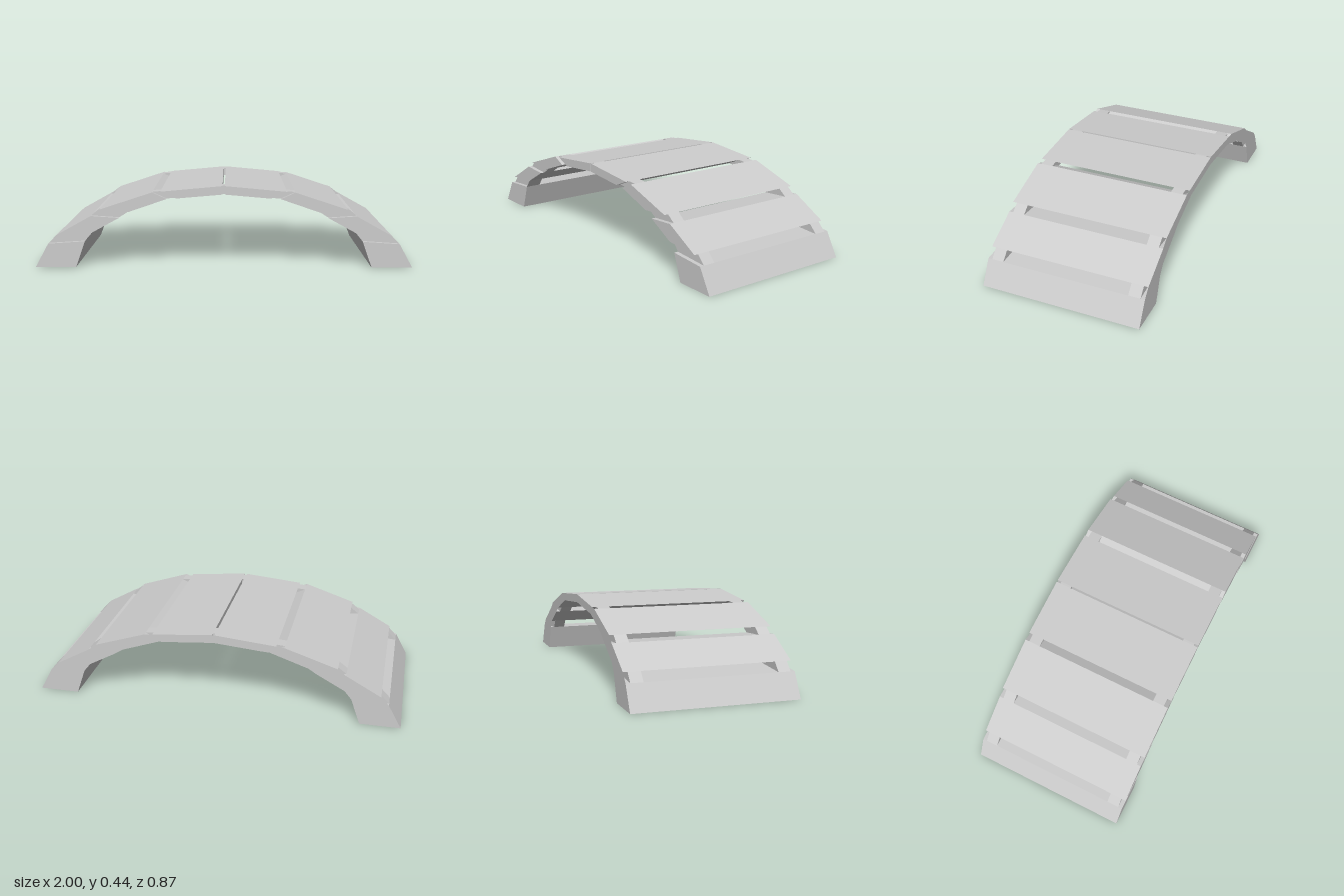
import * as THREE from 'three';

const HALF = 0.435;
// Cross-cuts through the right half of the arch: [outer point, inner point], foot to crown
const cuts = [
  [[1, 0], [0.785, 0]],
  [[0.93, 0.127], [0.735, 0.14]],
  [[0.887, 0.172], [0.698, 0.186]],
  [[0.7, 0.276], [0.552, 0.266]],
  [[0.656, 0.31], [0.503, 0.297]],
  [[0.376, 0.402], [0.3, 0.367]],
  [[0.333, 0.406], [0.248, 0.37]],
  [[0.006, 0.436], [0.006, 0.391]],
];

export function createModel() {
  const group = new THREE.Group();
  const material = new THREE.MeshStandardMaterial({ color: 0xcccccc, flatShading: true });

  const add = (name, geometry) => {
    const mesh = new THREE.Mesh(geometry, material);
    mesh.name = name;
    group.add(mesh);
  };
  const shapeOf = (points) => new THREE.Shape(points.map(([x, y]) => new THREE.Vector2(x, y)));
  // Block between two cross-cuts, running from z0 to z1
  const block = (name, a, b, z0, z1) => {
    const shape = shapeOf([a[0], b[0], b[1], a[1]]);
    const geometry = new THREE.ExtrudeGeometry(shape, { depth: z1 - z0, bevelEnabled: false });
    add(name, geometry.translate(0, 0, z0));
  };
  const mirror = (cut) => cut.map(([x, y]) => [-x, y]);
  // Pair of narrow links bridging a slot
  const links = (a, b) => {
    block('frontLink', a, b, 0.347, 0.412);
    block('backLink', a, b, -0.412, -0.347);
  };

  // Feet and deck panels alternate with slots
  for (const side of [cuts, cuts.map(mirror)]) {
    for (let i = 0; i < cuts.length - 1; i++) {
      if (i % 2 === 0) block(i === 0 ? 'foot' : 'deckPanel', side[i], side[i + 1], -HALF, HALF);
      else links(side[i], side[i + 1]);
    }
  }
  // Crown slot
  const crown = cuts[cuts.length - 1];
  links(crown, mirror(crown));

  // Continuous thin cover along the back edge, facing backwards
  const left = cuts.map(mirror);
  const right = [...cuts].reverse();
  const outline = [
    ...left.map((c) => c[0]), ...right.map((c) => c[0]),
    ...[...cuts].map((c) => c[1]), ...[...left].reverse().map((c) => c[1]),
  ];
  add('backCover', new THREE.ShapeGeometry(shapeOf(outline)).rotateY(Math.PI).translate(0, 0, -HALF));

  // Small inner web closing the lowest front notch on one side
  const [x0, y0] = left[1][1], [x1, y1] = left[2][1];
  const web = new THREE.PlaneGeometry(0.023, Math.hypot(x1 - x0, y1 - y0));
  web.rotateY(Math.PI / 2).rotateZ(-Math.atan2(x1 - x0, y1 - y0));
  add('innerWeb', web.translate((x0 + x1) / 2, (y0 + y1) / 2, 0.4235));

  return group;
}
